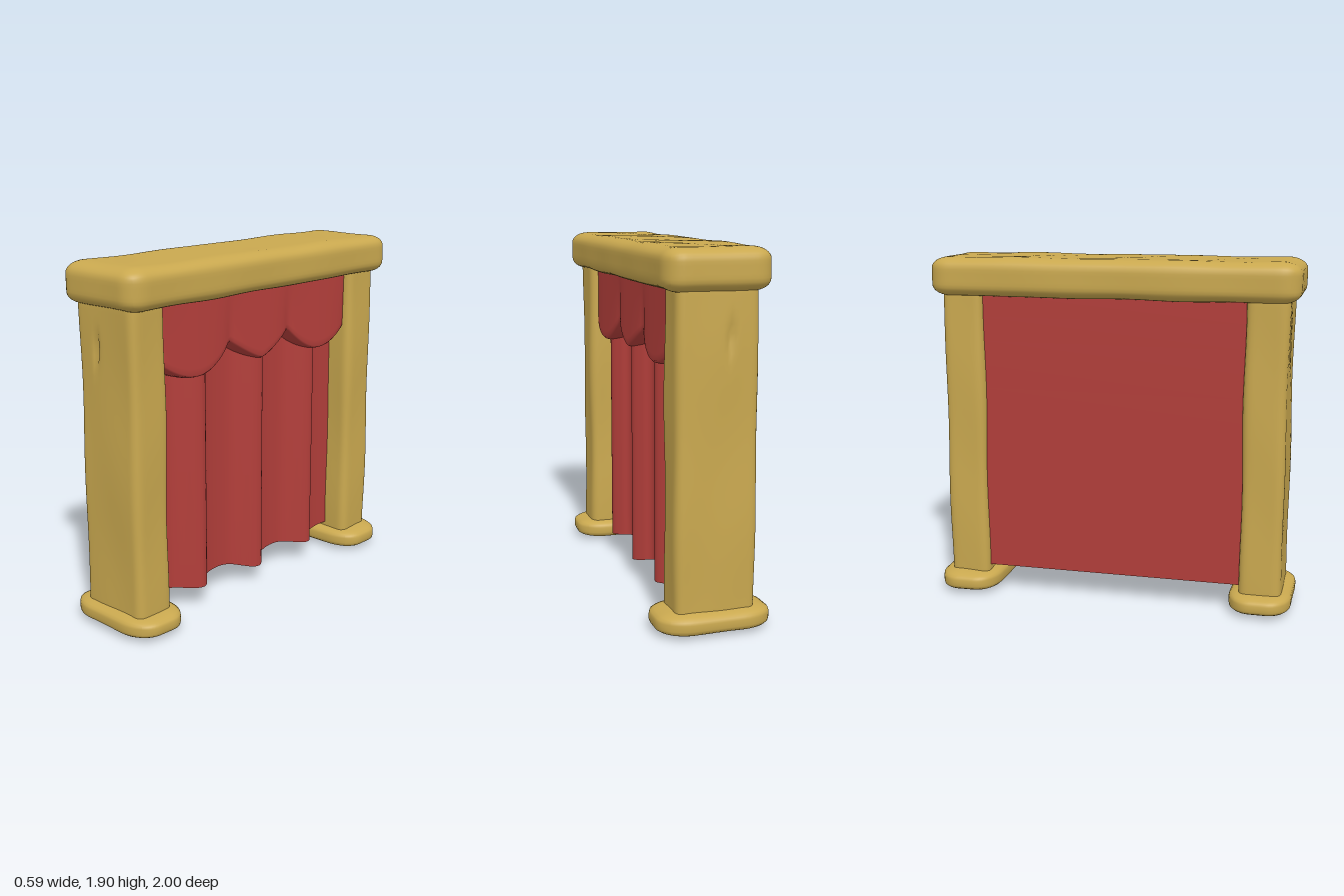
import * as THREE from 'three';
import { mergeVertices, toCreasedNormals } from 'three/addons/utils/BufferGeometryUtils.js';

const wood = new THREE.MeshStandardMaterial({ color: 0xc9a84f });
wood.name = 'golden wood';
const cloth = new THREE.MeshStandardMaterial({ color: 0xb23e3a, side: THREE.DoubleSide });
cloth.name = 'red cloth';

// Hand-carved block: a rounded box with its own radius per axis and a gentle wobble
function carvedBlock(name, size, radius, segments, wobble, seed, dent) {
  let geo = new THREE.BoxGeometry(2, 2, 2, ...segments);
  geo.deleteAttribute('uv');
  geo.deleteAttribute('normal');
  geo = mergeVertices(geo);
  const pos = geo.attributes.position;
  const half = new THREE.Vector3(...size).multiplyScalar(0.5);
  const r = new THREE.Vector3(...radius);
  const inner = half.clone().sub(r);
  const outer = inner.clone().negate();
  const p = new THREE.Vector3(), core = new THREE.Vector3(), d = new THREE.Vector3();
  for (let i = 0; i < pos.count; i++) {
    p.fromBufferAttribute(pos, i);
    // crowd the grid towards the edges, then round them
    for (const a of ['x', 'y', 'z']) p[a] = Math.sin(p[a] * Math.PI / 2) * half[a];
    core.copy(p).clamp(outer, inner);
    d.copy(p).sub(core).divide(r).normalize();
    p.copy(core).add(d.clone().multiply(r));
    const w = wobble * (Math.sin(p.y * 7 + p.z * 9 + seed) + 0.6 * Math.sin(p.x * 17 - p.z * 13 + p.y * 5 + seed * 2));
    p.addScaledVector(d, w);
    if (dent) dent(p, d);
    pos.setXYZ(i, p.x, p.y, p.z);
  }
  geo.computeVertexNormals();
  const mesh = new THREE.Mesh(geo, wood);
  mesh.name = name;
  return mesh;
}

// Short split in the grain on the outer face of a post
const split = (side) => (p, d) => {
  if (d.z * side < 0.9) return;
  const across = (p.x + 0.06) / 0.014, along = (p.y - 0.57) / 0.07;
  p.z -= side * 0.025 * Math.exp(-across * across - along * along);
};

// Pleated curtain: three ridges in front, flat back, ragged hem
function curtain() {
  const front = [[0.73, 0.07]];
  for (const c of [0.45, 0.01, -0.42]) {
    front.push([c + 0.15, 0.07], [c + 0.08, 0.105], [c + 0.02, 0.15], [c - 0.03, 0.16], [c - 0.08, 0.12], [c - 0.13, 0.07]);
  }
  front.push([-0.73, 0.07]);
  const points = front.map(([z, x]) => new THREE.Vector2(x, -z));
  const shape = new THREE.Shape();
  shape.moveTo(-0.168, 0.73);
  shape.lineTo(-0.168, -0.73);
  shape.lineTo(points[0].x, points[0].y);
  shape.splineThru(points.slice(1));
  shape.closePath();
  const geo = new THREE.ExtrudeGeometry(shape, { depth: 1.58, steps: 12, bevelEnabled: false, curveSegments: 5 });
  geo.rotateX(-Math.PI / 2);
  geo.translate(0, 0.12, 0);
  const pos = geo.attributes.position;
  for (let i = 0; i < pos.count; i++) {
    const y = pos.getY(i), z = pos.getZ(i);
    const hem = Math.max(0, 1 - (y - 0.12) / 0.4);
    const lift = pos.getX(i) < 0 ? 0.012 : 0;
    const drop = 0.012 * Math.cos(z * 14) + 0.018 * Math.exp(-z * z / 0.015) - 0.005 - lift;
    pos.setY(i, y - hem * drop);
  }
  const mesh = new THREE.Mesh(toCreasedNormals(geo, 0.8), cloth);
  mesh.name = 'curtain';
  return mesh;
}

// Valance: three swags with a rolled lower edge
function valance() {
  const geo = new THREE.PlaneGeometry(1.46, 1, 72, 16);
  geo.rotateY(Math.PI / 2);
  const pos = geo.attributes.position;
  const top = 0.163, cusp = 0.15, belly = 0.188, fold = 0.75;
  for (let i = 0; i < pos.count; i++) {
    const z = pos.getZ(i), t = 0.5 - pos.getY(i);
    const middle = Math.abs(z) < 0.23;
    const u = middle ? z / 0.23 : (Math.abs(z) - 0.48) / 0.25;
    const bottom = middle ? 1.3 + 0.12 * Math.pow(Math.abs(u), 1.3) : 1.28 + (u < 0 ? 0.14 : 0.1) * u * u;
    const full = cusp + (belly - cusp) * Math.sqrt(Math.max(0, 1 - u * u));
    let x, y;
    if (t <= fold) {
      const s = t / fold;
      x = top + (full - top) * s;
      y = 1.7 + (bottom + 0.025 - 1.7) * s;
    } else {
      // curl under, back to the pleats
      const a = (t - fold) / (1 - fold) * Math.PI / 2;
      x = full - 0.12 * (1 - Math.cos(a));
      y = bottom + 0.025 * (1 - Math.sin(a));
    }
    pos.setXYZ(i, x, y, z);
  }
  geo.computeVertexNormals();
  const mesh = new THREE.Mesh(geo, cloth);
  mesh.name = 'valance';
  return mesh;
}

export function createModel() {
  const model = new THREE.Group();
  model.name = 'curtainedFrame';

  for (const side of [1, -1]) {
    const label = side > 0 ? 'front' : 'back';
    const post = carvedBlock(label + 'Post', [0.42, 1.66, 0.226], [0.045, 0.03, 0.045], [32, 40, 16], 0.003, side, split(side));
    post.position.set(0, 0.9, side * 0.828);
    const base = carvedBlock(label + 'Base', [0.59, 0.12, 0.34], [0.17, 0.04, 0.125], [28, 12, 24], 0.002, side + 3);
    base.position.set(0, 0.062, side * 0.828);
    model.add(post, base);
  }

  const beam = carvedBlock('topBeam', [0.545, 0.212, 1.992], [0.095, 0.06, 0.11], [28, 16, 60], 0.002, 5);
  beam.position.set(0.003, 1.788, 0);
  model.add(beam, curtain(), valance());
  return model;
}
